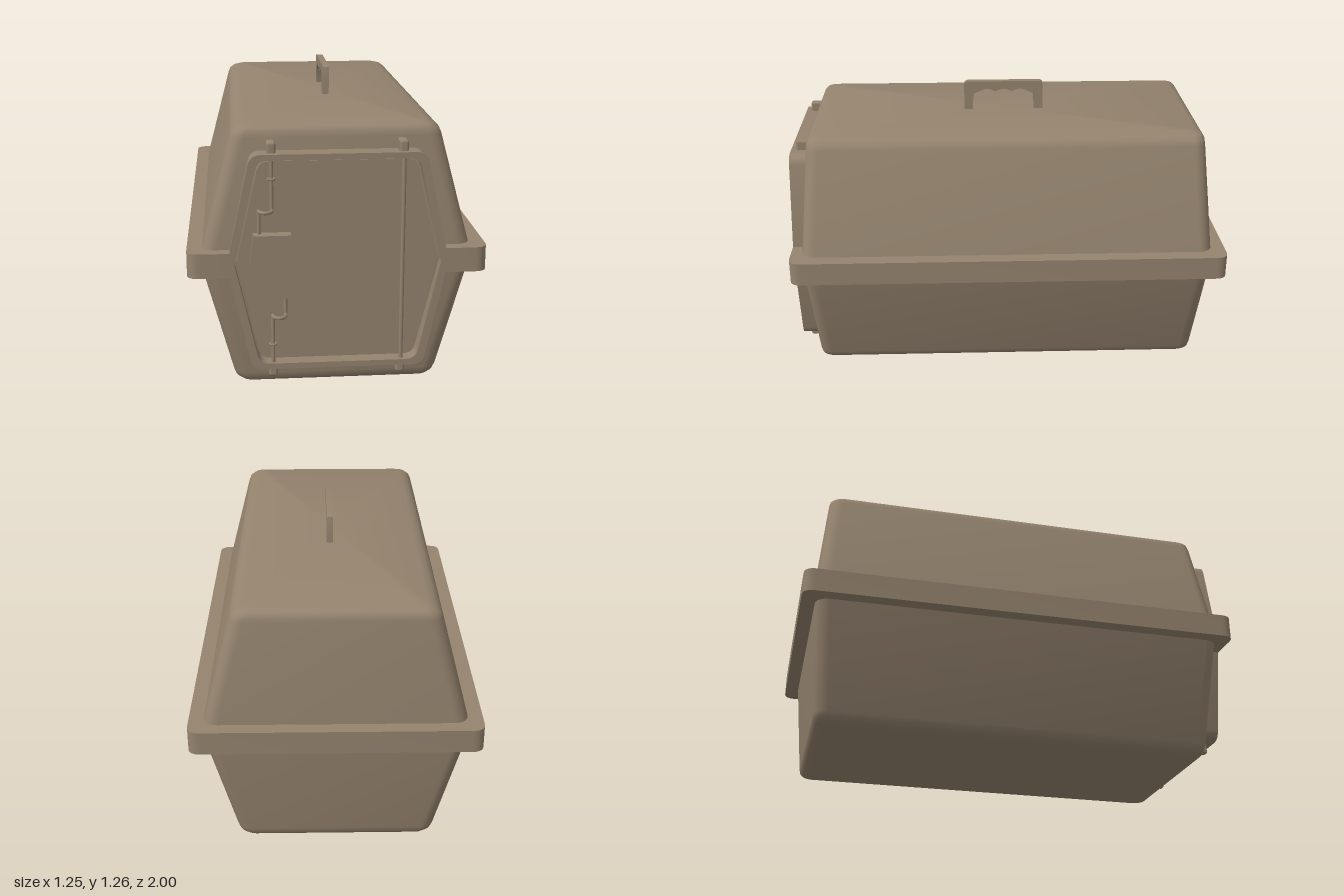
import * as THREE from 'three';
import { toCreasedNormals } from 'three/addons/utils/BufferGeometryUtils.js';
import { RoundedBoxGeometry } from 'three/addons/geometries/RoundedBoxGeometry.js';

const MID = 0.5625; // height of the seam between the two shells

// Closed polygon with each corner [x, y, radius] rounded off
function roundedPolygon(corners, Type = THREE.Shape) {
  const path = new Type();
  const n = corners.length;
  corners.forEach(([x, y, r = 0], i) => {
    const p = new THREE.Vector2(x, y);
    const toward = ([qx, qy]) => new THREE.Vector2(qx, qy).sub(p).setLength(r).add(p);
    const a = toward(corners[(i + n - 1) % n]);
    const b = toward(corners[(i + 1) % n]);
    if (i === 0) path.moveTo(a.x, a.y);
    else path.lineTo(a.x, a.y);
    if (r > 0) path.quadraticCurveTo(x, y, b.x, b.y);
  });
  path.closePath();
  return path;
}

// Six-sided door outline, symmetric about the seam
function doorOutline(topX, midX, halfH, r, Type) {
  return roundedPolygon([
    [midX, MID, 0.005], [topX, MID + halfH, r], [-topX, MID + halfH, r],
    [-midX, MID, 0.005], [-topX, MID - halfH, r], [topX, MID - halfH, r],
  ], Type);
}

function extrude(shape, depth) {
  const g = new THREE.ExtrudeGeometry(shape, { depth, bevelEnabled: false, curveSegments: 8 });
  return toCreasedNormals(g, 0.6);
}

// Tapered half shell lofted through rounded rectangles [y, halfWidth, front, back, radius]
function shellGeometry() {
  const rings = [
    [0, 0.573, 0.918, -0.943, 0.06], [0.515, 0.438, 0.882, -0.904, 0.06],
    [0.538, 0.428, 0.878, -0.9, 0.058], [0.554, 0.407, 0.866, -0.888, 0.05],
    [0.5625, 0.378, 0.842, -0.864, 0.04],
  ];
  const STEPS = 6;
  const pos = [], idx = [];
  for (const [y, hx, zf, zb, r] of rings) {
    const centres = [[hx - r, zf - r], [-hx + r, zf - r], [-hx + r, zb + r], [hx - r, zb + r]];
    centres.forEach(([cx, cz], c) => {
      for (let s = 0; s <= STEPS; s++) {
        const a = (c + s / STEPS) * Math.PI / 2;
        pos.push(cx + r * Math.cos(a), y, cz + r * Math.sin(a));
      }
    });
  }
  const n = 4 * (STEPS + 1);
  for (let k = 0; k < rings.length - 1; k++) {
    for (let i = 0; i < n; i++) {
      const a = k * n + i, b = k * n + (i + 1) % n;
      idx.push(a, a + n, b, b, a + n, b + n);
    }
  }
  const last = (rings.length - 1) * n;
  pos.push(0, MID, 0);
  for (let i = 0; i < n; i++) idx.push(last + i, last + n, last + (i + 1) % n);
  const g = new THREE.BufferGeometry();
  g.setAttribute('position', new THREE.Float32BufferAttribute(pos, 3));
  g.setIndex(idx);
  return toCreasedNormals(g, 0.7);
}

export function createModel() {
  const model = new THREE.Group();
  model.name = 'petCarrier';
  const taupe = new THREE.MeshStandardMaterial({ color: 0x94836e });
  taupe.name = 'taupePlastic';

  const add = (name, geometry, parent = model) => {
    const mesh = new THREE.Mesh(geometry, taupe);
    mesh.name = name;
    parent.add(mesh);
    return mesh;
  };

  // Upper and lower shells, the lower one turned over
  const shell = shellGeometry();
  add('upperShell', shell).position.y = MID;
  const lower = add('lowerShell', shell);
  lower.position.y = MID;
  lower.rotation.z = Math.PI;

  // Rim around the seam, notched at the front for the door
  const rimShape = roundedPolygon([
    [-0.623, -1, 0.055], [0.623, -1, 0.055], [0.623, 0.965, 0.055], [0.435, 0.965],
    [0.435, 0.85], [-0.435, 0.85], [-0.435, 0.965], [-0.623, 0.965, 0.055],
  ]);
  const rim = extrude(rimShape, 0.105);
  rim.rotateX(Math.PI / 2);
  add('rim', rim).position.y = 0.615;

  // Raised door frame and recessed door
  const frameShape = doorOutline(0.358, 0.458, 0.4625, 0.045);
  frameShape.holes.push(doorOutline(0.33, 0.427, 0.4375, 0.045, THREE.Path));
  add('doorFrame', extrude(frameShape, 0.115)).position.z = 0.85;
  add('door', extrude(doorOutline(0.322, 0.418, 0.4275, 0.042), 0.06)).position.z = 0.867;

  // Hinge tabs above and below the frame
  for (const x of [-0.272, 0.268]) {
    for (const side of [-1, 1]) {
      const tab = add('hingeTab', new RoundedBoxGeometry(0.037, 0.06, 0.1, 3, 0.01));
      tab.position.set(x, MID + side * 0.477, 0.89);
    }
  }

  // Hinge rod
  const rod = add('hingeRod', new THREE.CylinderGeometry(0.009, 0.009, 0.89, 12));
  rod.position.set(0.268, MID, 0.942);

  // Latch plate
  const plate = roundedPolygon([
    [-0.35, 0.42], [-0.195, 0.42], [-0.18, 0.555],
    [-0.195, 0.69], [-0.35, 0.69], [-0.365, 0.555],
  ]);
  add('latchPlate', extrude(plate, 0.053)).position.z = 0.924;

  // Latch rods: a straight bolt, a finger loop standing forward, then a stub into the plate
  const Z = 0.945;
  const latches = [
    { end: 1.005, loop: 0.79, plateY: 0.66, stubX: -0.325, eye: 0.92 },
    { end: 0.12, loop: 0.337, plateY: 0.45, stubX: -0.219, eye: 0.206 },
  ];
  for (const { end, loop, plateY, stubX, eye } of latches) {
    const boltX = -0.272;
    const latch = new THREE.Group();
    latch.name = 'latch';
    model.add(latch);
    const s = Math.sign(end - loop) * 0.008;
    const v = (x, y, z) => new THREE.Vector3(x, y, z);
    const path = new THREE.CurvePath();
    const mid = (boltX + stubX) / 2;
    path.add(new THREE.LineCurve3(v(boltX, end, Z), v(boltX, loop + s, Z)));
    path.add(new THREE.QuadraticBezierCurve3(
      v(boltX, loop + s, Z), v(boltX, loop, Z), v(boltX, loop, Z + 0.012)));
    path.add(new THREE.CubicBezierCurve3(v(boltX, loop, Z + 0.012),
      v(boltX * 0.9 + mid * 0.1, loop, 0.998), v(stubX * 0.9 + mid * 0.1, loop, 0.998),
      v(stubX, loop, Z + 0.012)));
    path.add(new THREE.QuadraticBezierCurve3(
      v(stubX, loop, Z + 0.012), v(stubX, loop, Z), v(stubX, loop - s, Z)));
    path.add(new THREE.LineCurve3(v(stubX, loop - s, Z), v(stubX, plateY, Z)));
    add('latchRod', new THREE.TubeGeometry(path, 120, 0.008, 10), latch);

    // Eyelet guiding the bolt
    const eyelet = add('latchEyelet', new THREE.TorusGeometry(0.014, 0.005, 8, 20), latch);
    eyelet.rotation.x = Math.PI / 2;
    eyelet.position.set(boltX, eye, Z - 0.003);
  }

  // Carrying handle with finger grips, drawn in the z-y plane
  const grip = new THREE.Shape();
  grip.moveTo(-0.195, 1.115);
  grip.lineTo(-0.195, 1.24);
  grip.quadraticCurveTo(-0.195, 1.26, -0.175, 1.26);
  grip.lineTo(0.155, 1.26);
  grip.quadraticCurveTo(0.175, 1.26, 0.175, 1.24);
  grip.lineTo(0.175, 1.115);
  grip.lineTo(0.135, 1.115);
  grip.lineTo(0.132, 1.195);
  grip.quadraticCurveTo(0.128, 1.206, 0.105, 1.21);
  for (let i = 0; i < 3; i++) {
    const z = 0.105 - i * 0.077;
    grip.quadraticCurveTo(z - 0.0385, 1.236, z - 0.077, 1.21);
  }
  grip.quadraticCurveTo(-0.148, 1.206, -0.152, 1.195);
  grip.lineTo(-0.155, 1.115);
  grip.closePath();
  const handle = extrude(grip, 0.03);
  handle.rotateY(-Math.PI / 2);
  add('handle', handle).position.x = 0.03;

  return model;
}
